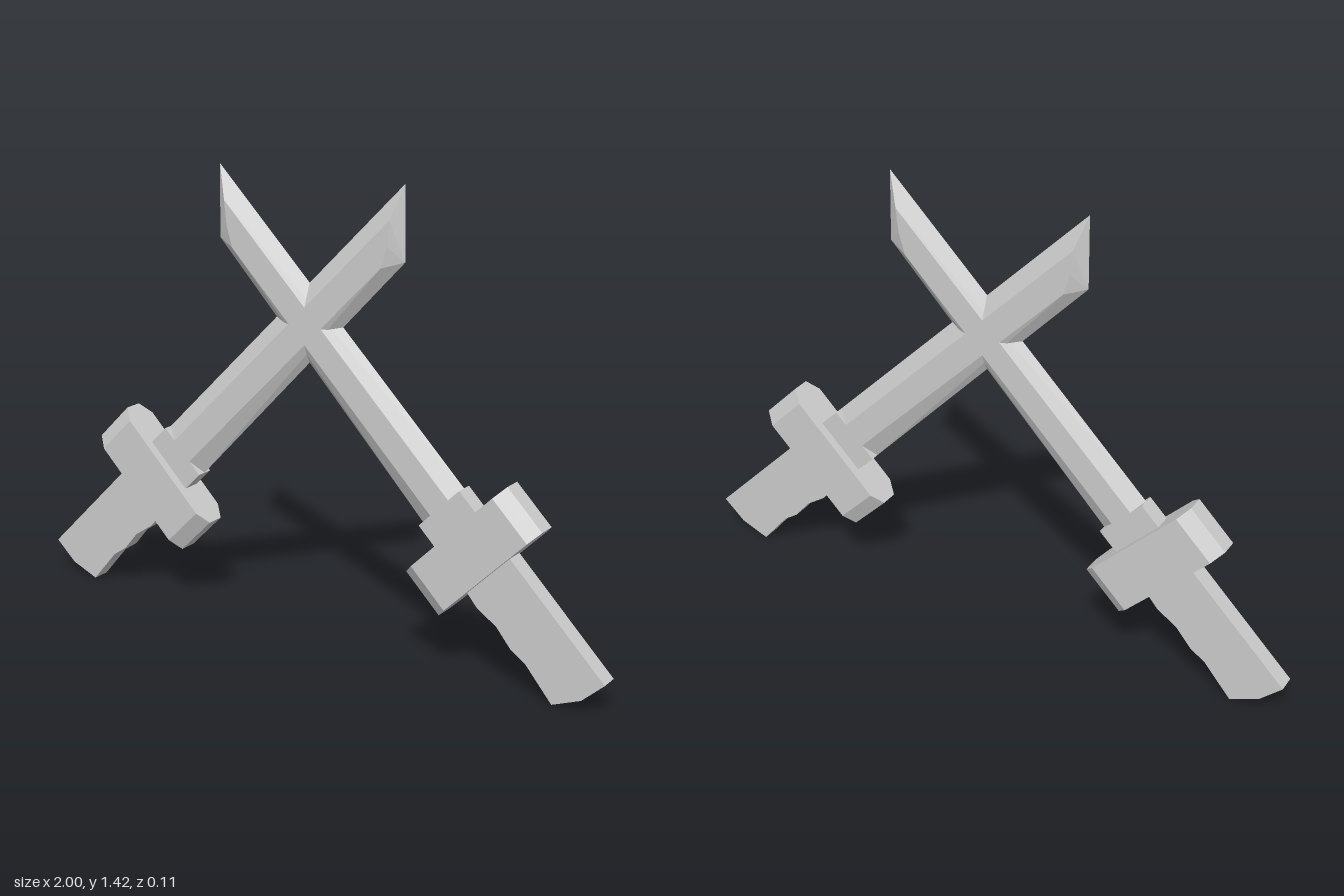
import * as THREE from 'three';
import { ConvexGeometry } from 'three/addons/geometries/ConvexGeometry.js';

const T = 0.028; // half thickness of blade and grip
const material = new THREE.MeshStandardMaterial({ color: 0xcccccc, flatShading: true });

function part(name, geometry) {
  const mesh = new THREE.Mesh(geometry, material);
  mesh.name = name;
  return mesh;
}

// Flat plate from an outline, centred on z = 0
function plate(points, depth) {
  const shape = new THREE.Shape(points.map(([x, y]) => new THREE.Vector2(x, y)));
  return new THREE.ExtrudeGeometry(shape, { depth, bevelEnabled: false }).translate(0, 0, -depth / 2);
}

// Sharp outline at z = 0, bevelled up to a flat on each side, slanted tip
function bladeGeometry() {
  const edge = [[0.035, -0.1], [1.08, -0.076], [1.234, 0.082], [0.035, 0.084]];
  const flat = [[0.035, -0.047], [1.02, -0.045], [1.08, -0.013], [1.138, 0.034], [0.035, 0.034]];
  const points = edge.map(([x, y]) => new THREE.Vector3(x, y, 0));
  for (const [x, y] of flat) {
    points.push(new THREE.Vector3(x, y, T), new THREE.Vector3(x, y, -T));
  }
  return new ConvexGeometry(points);
}

// Cross-guard: profile with chamfered ends, extruded along the sword
function guardGeometry() {
  const w = 0.056, low = -0.233, high = 0.221, c = 0.045;
  return plate([
    [-T, low], [T, low], [w, low + c], [w, high - c],
    [T, high], [-T, high], [-w, high - c], [-w, low + c],
  ], 0.158).rotateY(Math.PI / 2).translate(-0.119, 0, 0);
}

// Grip with finger notches along the lower side and an angled butt
function gripGeometry() {
  return plate([
    [-0.15, 0.084], [-0.63, 0.084], [-0.626, -0.01], [-0.588, -0.1],
    [-0.455, -0.089], [-0.399, -0.1], [-0.324, -0.093], [-0.248, -0.108], [-0.15, -0.1],
  ], 2 * T);
}

// Sword lying along its own x axis, sharp lower edge towards -y
function createSword() {
  const sword = new THREE.Group();
  const collar = new THREE.BoxGeometry(0.12, 0.184, 2 * T).translate(-0.022, -0.008, 0);
  sword.add(
    part('blade', bladeGeometry()),
    part('bladeCollar', collar),
    part('crossGuard', guardGeometry()),
    part('grip', gripGeometry()),
  );
  sword.rotation.z = Math.PI / 4;
  sword.position.set(-0.495, 0.495, 0);
  return sword;
}

export function createModel() {
  const model = new THREE.Group();
  model.name = 'crossedSwords';
  // The second sword is the first turned half round
  ['rightSword', 'leftSword'].forEach((name, i) => {
    const side = new THREE.Group();
    side.name = name;
    side.add(createSword());
    side.rotation.y = i * Math.PI;
    model.add(side);
  });
  return model;
}
